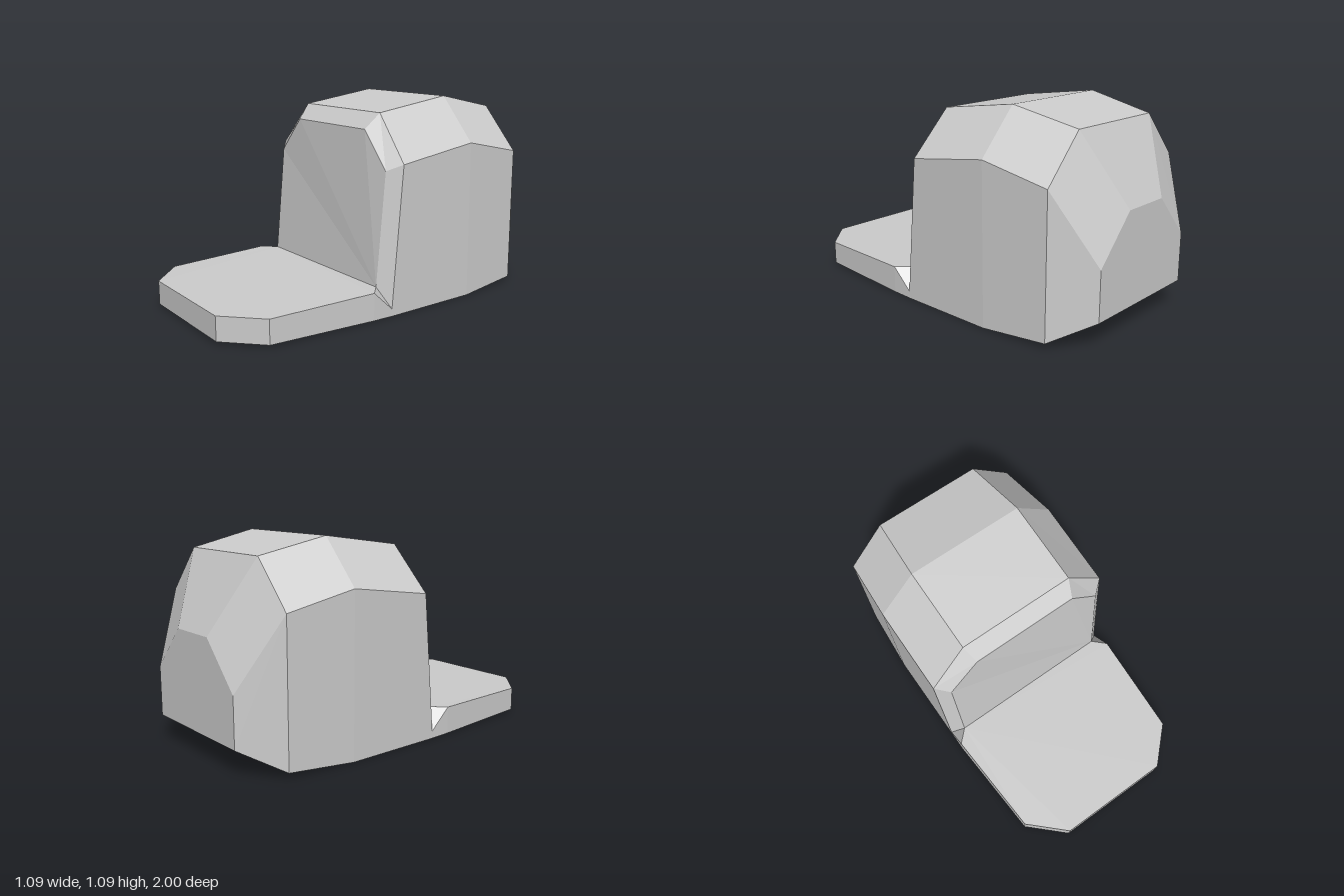
import * as THREE from 'three';

// Full outline from its +x half: the half, then its mirror image in reverse order
const flip = ([x, y, z]) => [-x, y, z];
const outline = (half) => [...half, ...half.map(flip).reverse()];

// Flat-shaded mesh from convex polygons, counter-clockwise seen from outside
function panels(name, polygons, material) {
  const positions = [];
  for (const p of polygons) {
    for (let i = 1; i < p.length - 1; i++) positions.push(...p[0], ...p[i], ...p[i + 1]);
  }
  const geometry = new THREE.BufferGeometry();
  geometry.setAttribute('position', new THREE.Float32BufferAttribute(positions, 3));
  geometry.computeVertexNormals();
  const mesh = new THREE.Mesh(geometry, material);
  mesh.name = name;
  return mesh;
}

export function createModel() {
  const cloth = new THREE.MeshStandardMaterial({ color: 0xcccccc, side: THREE.DoubleSide });
  cloth.name = 'light grey cloth';

  const cap = new THREE.Group();
  cap.name = 'cap';

  // Crown arches from front to back: hem, shoulder, top edge
  const front = [[0.475, 0.15, 0.157], [0.475, 0.75, 0.1], [0.3, 0.945, 0.098]];
  const rim = [[0.545, 0.04, 0.107], [0.545, 0.787, 0.04], [0.328, 1.028, 0.02]];
  const middle = [[0.545, 0, -0.44], [0.545, 0.856, -0.435], [0.328, 1.093, -0.435]];
  const rear = [[0.519, 0.03, -0.81], [0.519, 0.776, -0.81], [0.298, 1.015, -0.81]];
  const back = [[0.36, 0.138, -1], [0.36, 0.4, -1], [0.14, 0.635, -1]];
  const arches = [front, rim, middle, rear, back].map(outline);

  const shell = [];
  for (let s = 0; s < arches.length - 1; s++) {
    const a = arches[s], b = arches[s + 1];
    for (let i = 0; i < a.length - 1; i++) shell.push([a[i], b[i], b[i + 1], a[i + 1]]);
  }
  cap.add(panels('crown', shell, cloth));
  cap.add(panels('frontPanel', [arches[0]], cloth));

  // Back panel and the sloping hem under it; the crown stays open below
  const hem = [rear[0], flip(rear[0]), flip(back[0]), back[0]];
  cap.add(panels('backPanel', [[...arches[4]].reverse(), hem], cloth));

  // Brim: top, underside and edge, hollow towards the crown
  const brimTop = [front[0], [0.545, 0.15, 0.225], [0.508, 0.141, 0.82], [0.32, 0.141, 1]];
  const brimBase = [[0.545, 0, 0.1], [0.545, 0.003, 0.225], [0.508, 0.012, 0.82], [0.32, 0.012, 1]];
  const top = outline(brimTop), base = outline(brimBase);
  cap.add(panels('brimTop', [[...top].reverse()], cloth));
  cap.add(panels('brimUnderside', [base], cloth));
  const edge = [];
  for (let i = 1; i < top.length - 2; i++) edge.push([base[i + 1], base[i], top[i], top[i + 1]]);
  cap.add(panels('brimEdge', edge, cloth));

  // Side gussets joining brim and crown, with the small notch at the corner
  const gusset = [
    [front[0], brimTop[1], rim[0]],
    [brimTop[1], brimBase[1], brimBase[0], rim[0]],
    [rim[0], brimBase[0], middle[0]],
  ];
  cap.add(panels('leftGusset', gusset, cloth));
  cap.add(panels('rightGusset', gusset.map((p) => p.map(flip).reverse()), cloth));

  return cap;
}
